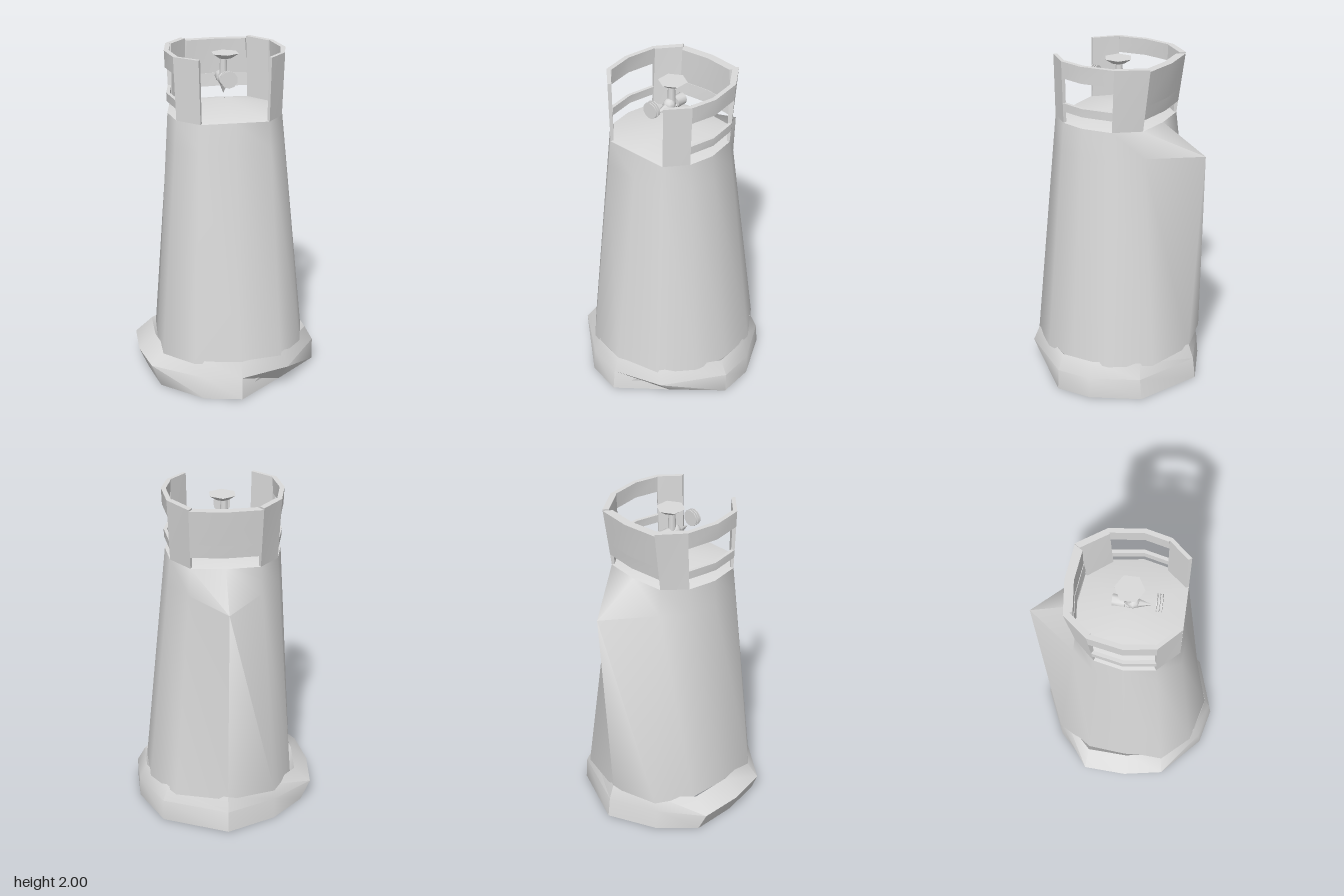
import * as THREE from 'three';
import { toCreasedNormals } from 'three/addons/utils/BufferGeometryUtils.js';

// Skins a list of equal-length closed cross-sections, optionally capping both ends.
function loft(rings, crease, capped = false) {
  const n = rings[0].length;
  const index = [];
  for (let r = 0; r < rings.length - 1; r++) {
    for (let i = 0; i < n; i++) {
      const a = r * n + i, b = r * n + (i + 1) % n;
      index.push(a, b, a + n, b, b + n, a + n);
    }
  }
  if (capped) {
    const last = (rings.length - 1) * n;
    for (let i = 1; i < n - 1; i++) {
      index.push(0, i + 1, i, last, last + i, last + i + 1);
    }
  }
  const geometry = new THREE.BufferGeometry();
  geometry.setAttribute('position', new THREE.Float32BufferAttribute(rings.flat(2), 3));
  geometry.setIndex(index);
  return toCreasedNormals(geometry, crease);
}

// Plan outlines as [x, z], running from the front left corner around the back.
const SHOULDER = [[0.2, 0.32], [0.3, 0.2], [0.335, 0.05], [0.31, -0.13], [0.2, -0.27], [0, -0.29],
  [-0.2, -0.27], [-0.31, -0.15], [-0.345, 0.02], [-0.32, 0.2], [-0.2, 0.32], [0, 0.32]];
const FOOT = [[0.26, 0.44], [0.42, 0.26], [0.48, 0.05], [0.46, -0.19], [0.31, -0.41], [0, -0.49],
  [-0.29, -0.41], [-0.41, -0.2], [-0.43, 0.03], [-0.43, 0.28], [-0.27, 0.45], [0, 0.52]];
const SKIRT = [[0.3, 0.47], [0.54, 0.12], [0.53, -0.1], [0.39, -0.38], [0, -0.54], [-0.29, -0.41],
  [-0.48, -0.22], [-0.49, 0.05], [-0.45, 0.3], [-0.22, 0.52], [0, 0.57]];

const ring = (outline, y, scale = 1) => outline.map(([x, z]) => [x * scale, y, z * scale]);

export function createModel() {
  const group = new THREE.Group();
  const grey = new THREE.MeshStandardMaterial({ color: 0xdadada, side: THREE.DoubleSide });
  grey.name = 'light grey';

  const add = (name, geometry, x = 0, y = 0, z = 0) => {
    const mesh = new THREE.Mesh(geometry, grey);
    mesh.name = name;
    mesh.position.set(x, y, z);
    group.add(mesh);
    return mesh;
  };

  // Smooth tapered body, straight-sided except for one peak high on the back
  const peaked = SHOULDER.map(([x, z], i) => {
    const t = 0.112;
    return [x + (FOOT[i][0] - x) * t, 1.47, i === 5 ? -0.57 : z + (FOOT[i][1] - z) * t];
  });
  add('body', loft([ring(FOOT, 0.2), peaked, ring(SHOULDER, 1.63)], 1.2));

  // Shallow cones closing the top and the underside
  add('bodyTop', loft([ring(SHOULDER, 1.63), ring(SHOULDER, 1.7, 0.01)], 0.75));
  add('bodyUnderside', loft([ring(FOOT, 0.05, 0.01), ring(FOOT, 0.2)], 0.75));

  // Flared skirt: up the outside, over the top and down the thin inside;
  // its bottom edge is cut straight across the front left corner
  const bottom = SKIRT.map(([x, z], i) => (i === 0 ? [0.27, 0.35] : [x, z]));
  const skirtMiddle = SKIRT.map(([x, z]) => [x < -0.3 ? x * 1.12 : x, 0.13, z * 0.97]);
  add('skirt', loft([
    ring(bottom, 0), skirtMiddle, ring(SKIRT, 0.22, 0.91),
    ring(SKIRT, 0.18, 0.84), ring(bottom, 0, 0.95), ring(bottom, 0),
  ], 0.75));

  // Collar walls follow the shoulder outline and lean out toward the back
  const lean = ([x, z], y, inset) => {
    const rise = y - 1.63;
    return [x * (1 + 0.12 * rise) * inset, y, z * (1 + (z < 0 ? 0.5 * rise : 0)) * inset];
  };
  const wall = (name, from, to, low, high, lip = 0.94) => {
    const sections = SHOULDER.slice(from, to + 1).map((p) => [
      lean(p, low, 0.95), lean(p, high, lip), lean(p, high, 1), lean(p, low, 1),
    ]);
    add(name, loft(sections, 0.75, true));
  };
  wall('backRail', 4, 6, 1.7, 1.78);
  wall('backWall', 4, 6, 1.78, 1.99, 0.85);
  for (const [side, at] of [['left', (i) => i], ['right', (i) => 10 - i]]) {
    const span = (name, a, b, low, high, lip) =>
      wall(side + name, Math.min(at(a), at(b)), Math.max(at(a), at(b)), low, high, lip);
    span('FrontPost', 0, 1, 1.63, 2);
    span('RearPost', 3, 4, 1.63, 2, 0.9);
    span('WindowRail', 1, 3, 1.7, 1.75);
    span('CollarBand', 1, 3, 1.9, 2, 0.92);
  }

  // Valve: stem, faceted top wheel, side outlet and thin outlet discs
  add('valveStem', new THREE.CylinderGeometry(0.02, 0.025, 0.14, 8), -0.01, 1.87, 0.01);
  add('valveTip', new THREE.ConeGeometry(0.035, 0.08, 6), -0.01, 1.77, 0.01).rotation.x = Math.PI;
  add('valveWheel', toCreasedNormals(new THREE.CylinderGeometry(0.085, 0.04, 0.03, 6), 0.5), 0, 1.955, 0.01);
  add('valveHub', new THREE.SphereGeometry(0.038, 8, 6), -0.01, 1.82, 0.03);

  const lieAlongZ = (mesh) => { mesh.rotation.x = Math.PI / 2; };
  lieAlongZ(add('outletKnob', toCreasedNormals(new THREE.CylinderGeometry(0.035, 0.035, 0.07, 8), 0.8), -0.01, 1.815, -0.05));
  lieAlongZ(add('outletNozzle', new THREE.ConeGeometry(0.03, 0.1, 6), -0.01, 1.81, 0.09));
  for (const z of [0.16, 0.175, 0.19]) {
    lieAlongZ(add('outletDisc', new THREE.CylinderGeometry(0.05, 0.05, 0.005, 10), -0.01, 1.85, z));
  }

  return group;
}
